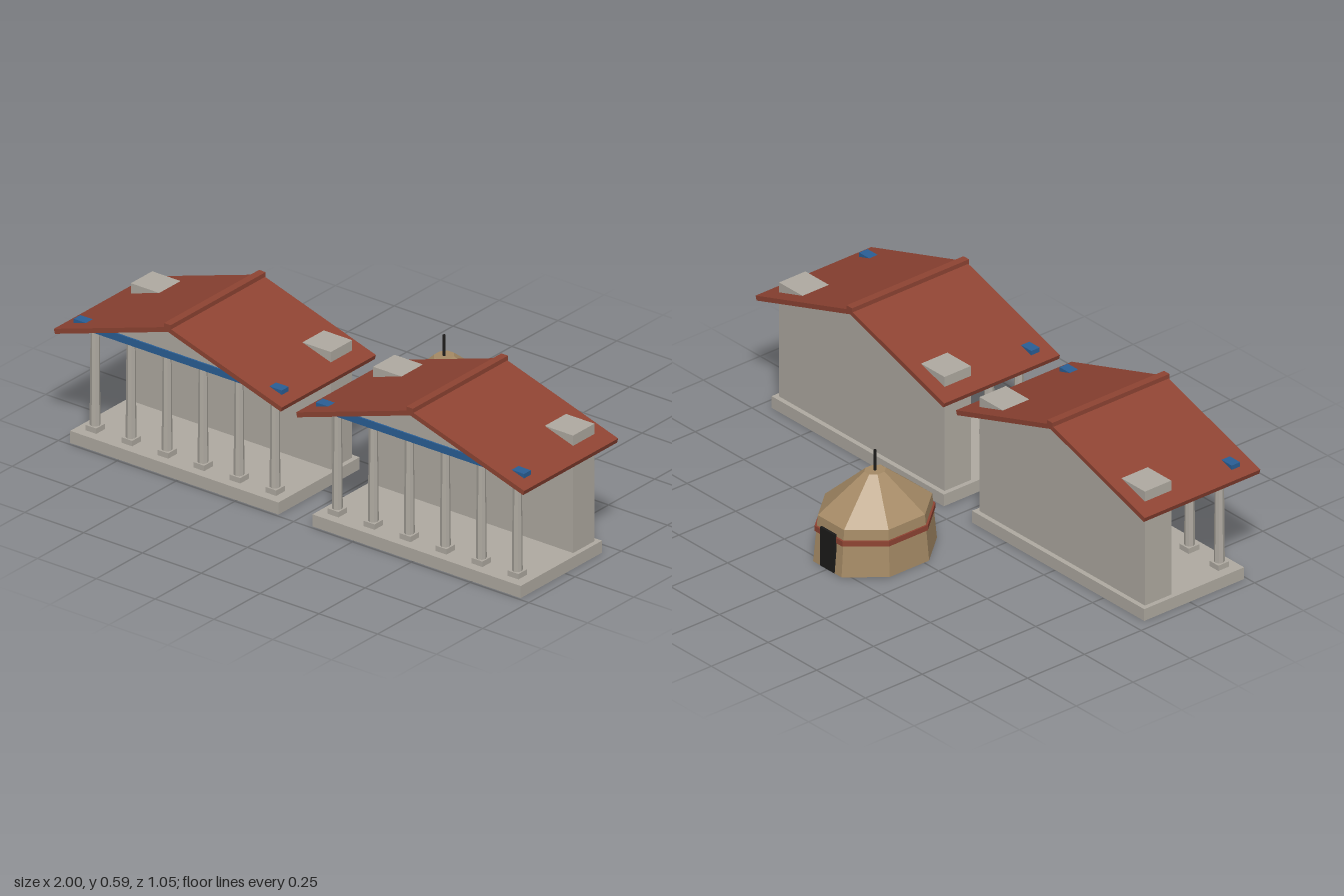
import * as THREE from 'three';

const mat = (name, color) => {
  const m = new THREE.MeshStandardMaterial({ color });
  m.name = name;
  return m;
};

export function createModel() {
  const stone = mat('stone grey', 0xb0aba2);
  const red = mat('roof red', 0x8f4433);
  const blue = mat('beam blue', 0x2a5f96);
  const tan = mat('felt tan', 0xa68b66);
  const black = mat('dark', 0x1c1b1a);

  // Adds a facetted mesh
  const add = (parent, name, geometry, material, x = 0, y = 0, z = 0) => {
    const g = geometry.index ? geometry.toNonIndexed() : geometry;
    g.computeVertexNormals();
    const mesh = new THREE.Mesh(g, material);
    mesh.name = name;
    mesh.position.set(x, y, z);
    parent.add(mesh);
    return mesh;
  };
  // Box given by width and its y and z ranges
  const slab = (parent, name, material, w, y0, y1, z0, z1, x = 0) =>
    add(parent, name, new THREE.BoxGeometry(w, y1 - y0, z1 - z0), material, x, (y0 + y1) / 2, (z0 + z1) / 2);
  // Outline in x and y, extruded between two z values
  const prism = (parent, name, material, points, z0, z1) => {
    const shape = new THREE.Shape(points.map(([x, y]) => new THREE.Vector2(x, y)));
    return add(parent, name, new THREE.ExtrudeGeometry(shape, { depth: z1 - z0, bevelEnabled: false }), material, 0, 0, z0);
  };

  const makeHall = (name, x) => {
    const hall = new THREE.Group();
    hall.name = name;
    hall.position.x = x;

    slab(hall, 'plinth', stone, 0.885, 0, 0.045, 0.05, 0.49);
    slab(hall, 'rearWall', stone, 0.85, 0.045, 0.482, 0.068, 0.184);
    slab(hall, 'beam', blue, 0.885, 0.428, 0.455, 0.435, 0.472);

    // Gables under both roof ends
    const gable = [[-0.41, 0.43], [0.41, 0.43], [0, 0.562]];
    prism(hall, 'rearGable', stone, gable, 0.058, 0.09);
    prism(hall, 'frontGable', stone, gable, 0.437, 0.466);

    // Pitched roof and ridge cap
    prism(hall, 'roof', red, [
      [-0.485, 0.425], [-0.48, 0.408], [0, 0.56], [0.48, 0.408], [0.485, 0.425], [0, 0.578],
    ], 0.016, 0.525);
    slab(hall, 'ridgeCap', red, 0.028, 0.566, 0.59, 0.013, 0.528);

    // Colonnade
    for (let i = 0; i < 6; i++) {
      const cx = (i - 2.5) * 0.153;
      slab(hall, 'columnBase', stone, 0.046, 0.045, 0.065, 0.408, 0.455, cx);
      add(hall, 'column', new THREE.CylinderGeometry(0.0155, 0.0185, 0.365, 8), stone, cx, 0.2475, 0.432);
    }
    return hall;
  };

  // Eight-sided tent, flat side to the rear
  const tent = new THREE.Group();
  tent.name = 'tent';
  tent.position.z = -0.315;
  const ring = (name, material, aTop, aBottom, y0, y1) => {
    const k = 1 / Math.cos(Math.PI / 8);
    const g = new THREE.CylinderGeometry(aTop * k, aBottom * k, y1 - y0, 8);
    g.rotateY(Math.PI / 8).scale(0.84, 1, 1);
    add(tent, name, g, material, 0, (y0 + y1) / 2, 0);
  };
  ring('tentWall', tan, 0.194, 0.21, 0, 0.173);
  ring('tentBand', red, 0.205, 0.205, 0.115, 0.135);
  ring('tentRoof', tan, 0.037, 0.194, 0.173, 0.305);
  add(tent, 'pole', new THREE.CylinderGeometry(0.005, 0.005, 0.085, 8), black, 0, 0.3395, 0);
  slab(tent, 'door', black, 0.075, 0, 0.147, -0.211, -0.2015);

  const model = new THREE.Group();
  model.name = 'hallsAndTent';
  model.add(makeHall('leftHall', 0.515), makeHall('rightHall', -0.515), tent);
  return model;
}
